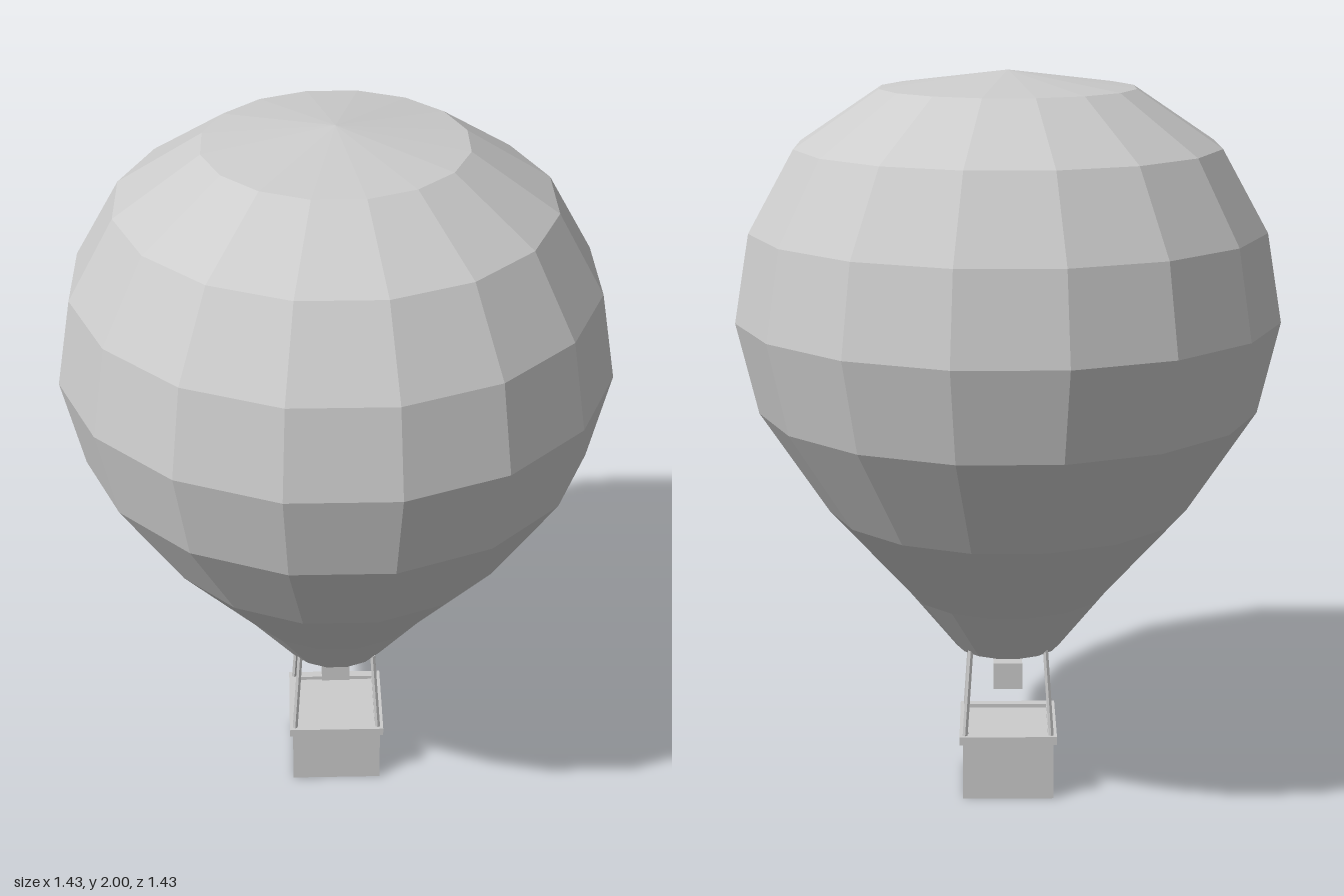
import * as THREE from 'three';

export function createModel() {
  const model = new THREE.Group();
  const grey = new THREE.MeshStandardMaterial({ color: 0xcccccc, flatShading: true });
  grey.name = 'light grey';

  function add(name, geometry, x = 0, y = 0, z = 0, parent = model) {
    const mesh = new THREE.Mesh(geometry, grey);
    mesh.name = name;
    mesh.position.set(x, y, z);
    parent.add(mesh);
    return mesh;
  }

  // Sixteen-sided envelope, closed at the mouth and crown
  const profile = [
    [0, 0.42], [0.145, 0.42], [0.272, 0.58], [0.492, 0.83], [0.673, 1.11],
    [0.729, 1.355], [0.688, 1.59], [0.566, 1.805], [0.34, 1.955], [0, 2],
  ].map(([r, y]) => new THREE.Vector2(r, y));
  add('envelope', new THREE.LatheGeometry(profile, 16, Math.PI / 16));

  // Burner hanging below the mouth
  add('burner', new THREE.BoxGeometry(0.08, 0.075, 0.08), 0, 0.33, 0);

  // Basket with four rim bars
  add('basket', new THREE.BoxGeometry(0.252, 0.176, 0.252), 0, 0.088, 0);
  const rim = new THREE.Group();
  rim.name = 'basketRim';
  model.add(rim);
  for (const s of [-1, 1]) {
    add('rimBar', new THREE.BoxGeometry(0.27, 0.024, 0.024), 0, 0.175, s * 0.123, rim);
    add('rimBar', new THREE.BoxGeometry(0.024, 0.024, 0.222), s * 0.123, 0.175, 0, rim);
  }

  // Ropes from the basket corners to the mouth
  for (const sx of [-1, 1]) {
    for (const sz of [-1, 1]) {
      const bottom = new THREE.Vector3(sx * 0.12, 0.176, sz * 0.12);
      const top = new THREE.Vector3(sx * 0.103, 0.43, sz * 0.103);
      const span = top.clone().sub(bottom);
      const rope = add('rope', new THREE.CylinderGeometry(0.008, 0.008, span.length(), 6));
      rope.position.copy(bottom).add(top).multiplyScalar(0.5);
      rope.quaternion.setFromUnitVectors(new THREE.Vector3(0, 1, 0), span.normalize());
    }
  }

  return model;
}
